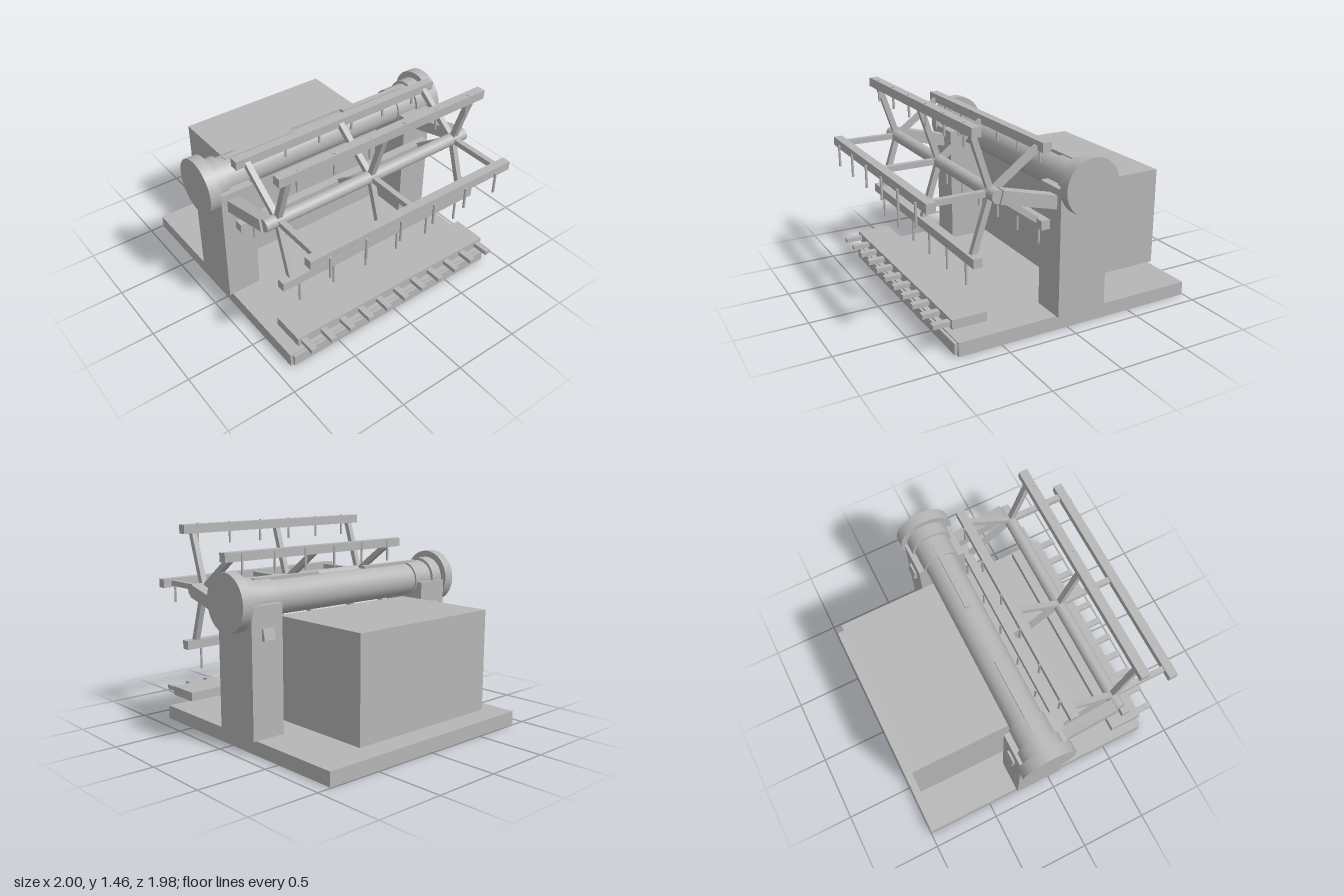
import * as THREE from 'three';

const grey = new THREE.MeshStandardMaterial({ color: 0xb6b6b6 });
grey.name = 'plain grey';

export function createModel() {
  const model = new THREE.Group();
  model.name = 'harvesterHeader';

  const add = (name, geometry, x, y, z, parent = model) => {
    const mesh = new THREE.Mesh(geometry, grey);
    mesh.name = name;
    mesh.position.set(x, y, z);
    parent.add(mesh);
    return mesh;
  };
  const box = (name, w, h, d, x, y, z, parent) =>
    add(name, new THREE.BoxGeometry(w, h, d), x, y, z, parent);
  // cylinder lying along x
  const drum = (name, r, length, x, y, z, parent, sides = 32) =>
    add(name, new THREE.CylinderGeometry(r, r, length, sides).rotateZ(Math.PI / 2), x, y, z, parent);

  // Base plate with front lip, and rear housing
  box('basePlate', 1.79, 0.1, 1.8, 0, 0.05, -0.09);
  box('frontLip', 1.75, 0.08, 0.03, 0, 0.05, 0.815);
  box('rearHousing', 1.2, 0.72, 0.785, 0, 0.52, -0.543);

  // Main drum between the towers
  const drumY = 1, drumZ = -0.1;
  drum('mainDrum', 0.12, 1.7, 0, drumY, drumZ);

  for (const side of [-1, 1]) {
    // Side towers, drum collars and end discs
    box('sideTower', 0.25, 0.89, 0.365, side * 0.795, 0.545, -0.093);
    drum('innerCollar', 0.133, 0.2, side * 0.76, drumY, drumZ);
    drum('outerCollar', 0.153, 0.1, side * 0.875, drumY, drumZ);
    drum('endDisc', 0.2, 0.08, side * 0.96, drumY, drumZ);
    box('drumStrip', 0.555, 0.06, 0.04, side * 0.4975, 1.11, drumZ);
    // Latch block on the back of the tower
    box('latchBlock', 0.09, 0.08, 0.03, side * 0.795, 0.8, -0.283).rotation.x = 0.2;
    // Arm that carries the reel
    box('reelArm', 0.085, 0.09, 0.5, side * 0.833, 0.936, 0.245).rotation.x = -0.25;
  }

  // Reel: shaft, five bats on spokes, and tines that hang straight down
  const reel = new THREE.Group();
  reel.name = 'reel';
  reel.position.set(0, 1, 0.505);
  model.add(reel);
  drum('reelShaft', 0.045, 1.72, 0, 0, 0, reel, 24);
  for (let i = 0; i < 5; i++) {
    const a = (i / 5) * Math.PI * 2;
    const y = Math.sin(a), z = Math.cos(a);
    box('bat', 1.68, 0.064, 0.064, 0, y * 0.44, z * 0.44, reel);
    for (const x of [-0.755, 0, 0.755]) {
      box('spoke', 0.04, 0.04, 0.43, x, y * 0.215, z * 0.215, reel).rotation.x = -a;
    }
    for (let t = 0; t < 6; t++) {
      add('tine', new THREE.CylinderGeometry(0.009, 0.009, 0.16, 10),
        -0.7 + t * 0.28, y * 0.48 - 0.08, z * 0.48, reel);
    }
  }

  // Cutter bar with a row of guard fingers
  box('cutterBar', 1.68, 0.066, 0.245, 0, 0.203, 0.703);
  for (let i = 0; i < 11; i++) {
    box('guardFinger', 0.045, 0.032, 0.14, (i - 5) * 0.159, 0.203, 0.877);
  }

  return model;
}
